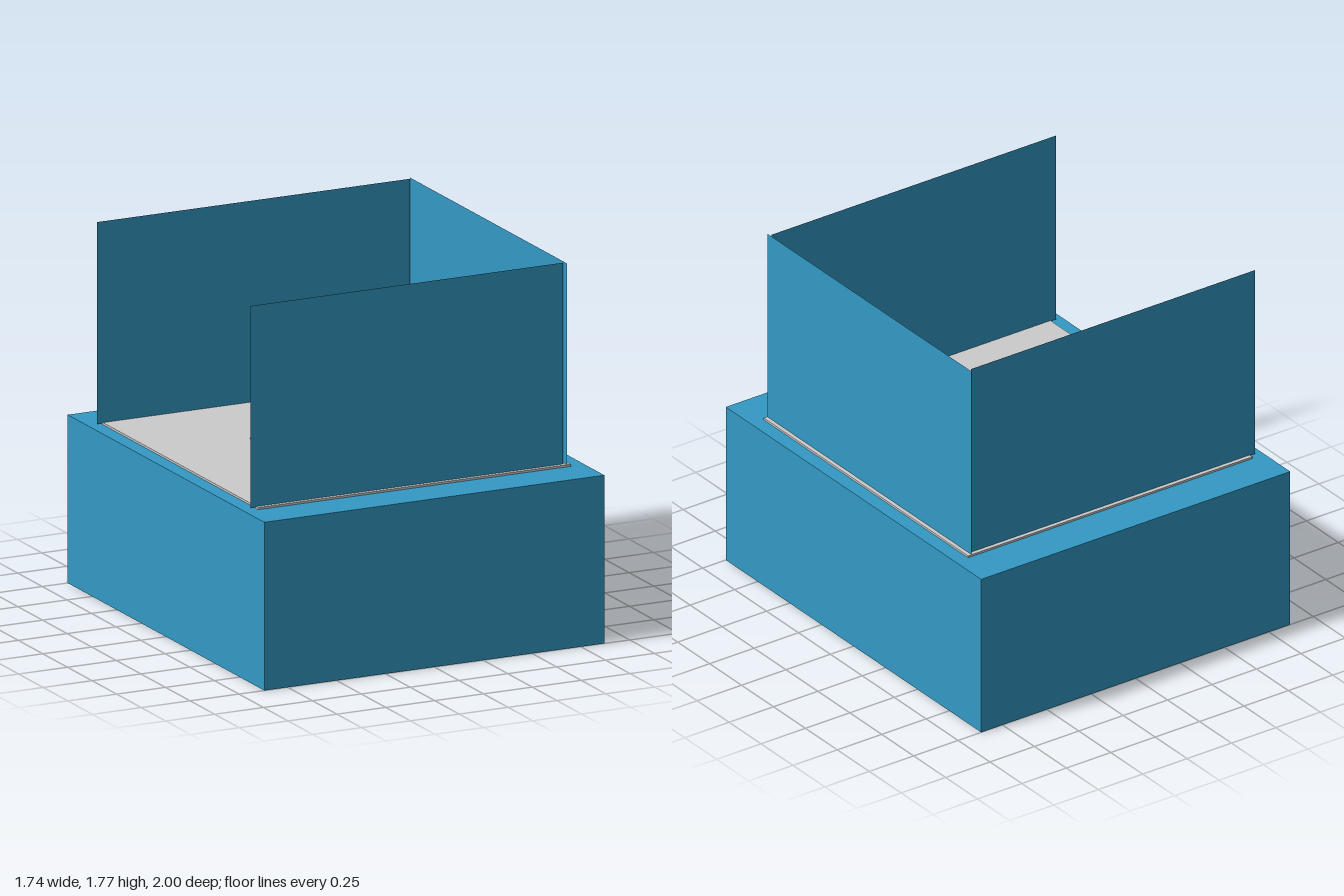
import * as THREE from 'three';

export function createModel() {
  const model = new THREE.Group();
  const material = (color) => new THREE.MeshStandardMaterial({ color });
  const blue = material(0x3399c5);
  const orange = material(0xe59a2c);
  const grey = material(0xcccccc);
  const wallBlue = blue.clone();
  wallBlue.side = THREE.DoubleSide;

  function add(name, geometry, mat, x, y, z) {
    const mesh = new THREE.Mesh(geometry, mat);
    mesh.name = name;
    mesh.position.set(x, y, z);
    model.add(mesh);
    return mesh;
  }
  // Box standing on height y
  const box = (name, w, h, d, mat, x, y, z) =>
    add(name, new THREE.BoxGeometry(w, h, d), mat, x, y + h / 2, z);

  // Plinth, floor slab and rug
  box('base', 1.74, 0.8, 2, blue, 0, 0, 0);
  box('floor', 1.6, 0.01, 1.6, grey, 0, 0.8, 0);
  box('rug', 0.64, 0.005, 0.48, orange, 0, 0.81, 0);

  // Paper-thin walls on three sides, open towards -x
  const wallHeight = 0.96;
  const wallY = 0.807 + wallHeight / 2;
  const wall = new THREE.PlaneGeometry(1.6, wallHeight);
  add('frontWall', wall, wallBlue, -0.03, wallY, 0.78);
  add('backWall', wall, wallBlue, -0.03, wallY, -0.78);
  add('sideWall', wall, wallBlue, 0.78, wallY, 0).rotation.y = Math.PI / 2;

  // Tiny objects on the rug
  box('smallBlock', 0.02, 0.02, 0.02, grey, 0, 0.815, 0);
  box('smallChip', 0.016, 0.006, 0.006, grey, -0.09, 0.815, 0.035);

  return model;
}
